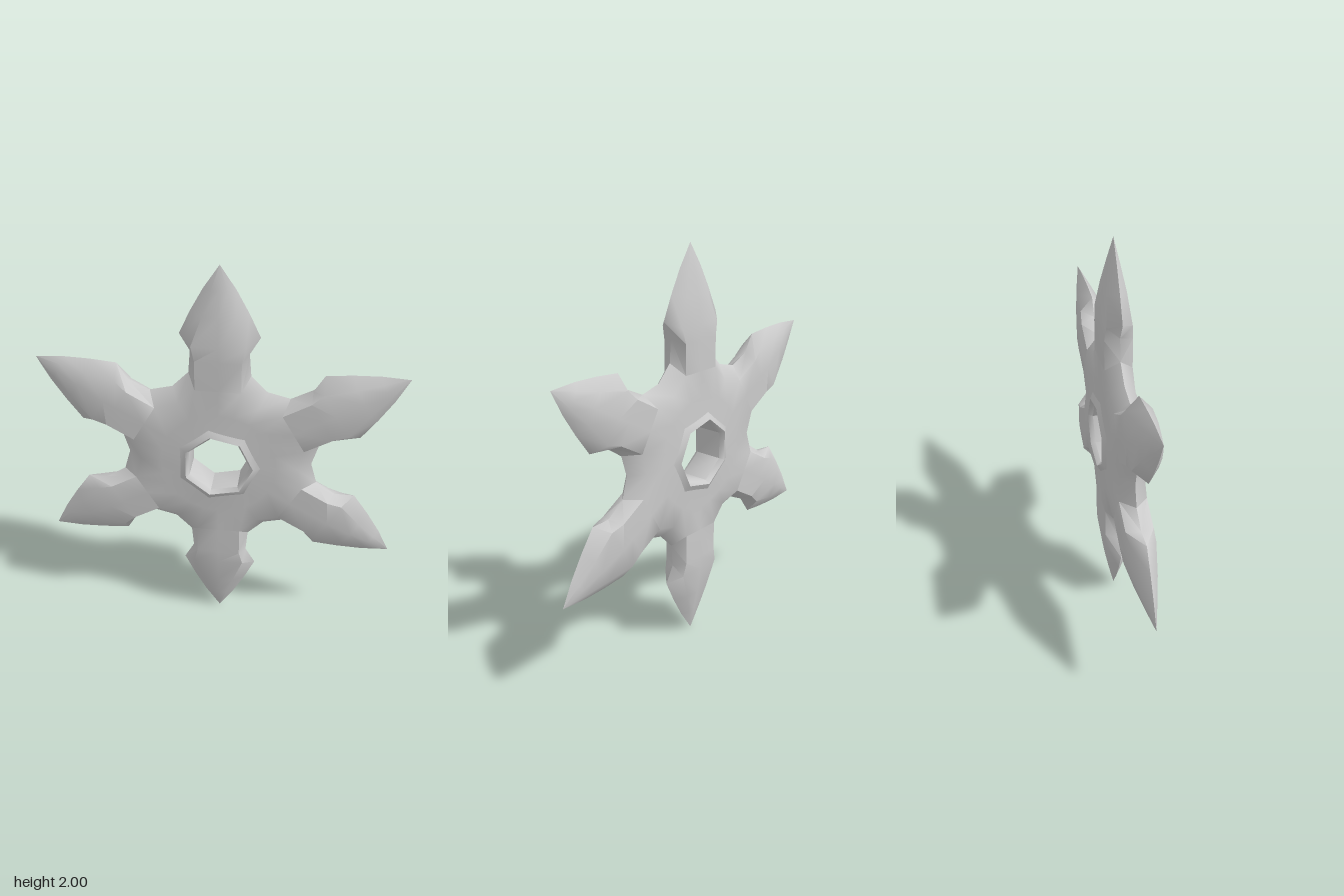
import * as THREE from 'three';
import { toCreasedNormals } from 'three/addons/utils/BufferGeometryUtils.js';

const ARMS = 6;
const V = (x, y, z) => new THREE.Vector3(x, y, z);

// Collects faces given as front-side corners and adds their mirrored back side
function doubleSided(quads) {
  const pos = [];
  const tri = (a, b, c) => {
    if (b.clone().sub(a).cross(c.clone().sub(a)).length() < 1e-7) return;
    for (const p of [a, b, c]) pos.push(p.x, p.y, p.z);
    for (const p of [a, c, b]) pos.push(p.x, p.y, -p.z);
  };
  for (const [a, b, c, d] of quads) { tri(a, b, c); tri(a, c, d); }
  const g = new THREE.BufferGeometry();
  g.setAttribute('position', new THREE.Float32BufferAttribute(pos, 3));
  return g;
}

// Quads between neighbouring rows of points (columns run left to right, rows outward)
function grid(rows) {
  const quads = [];
  for (let i = 0; i < rows.length - 1; i++)
    for (let j = 0; j < rows[i].length - 1; j++)
      quads.push([rows[i][j], rows[i][j + 1], rows[i + 1][j + 1], rows[i + 1][j]]);
  return quads;
}

// Arm stations: edge distance, edge half width, top distance, top half width, top height, ridge height
const STATIONS = [
  [0.467, 0.146, 0.41, 0.108, 0.066, 0.067],
  [0.58, 0.137, 0.56, 0.108, 0.066, 0.067],
  [0.665, 0.185, 0.63, 0.125, 0.06, 0.067],
  [0.78, 0.132, 0.77, 0.075, 0.044, 0.049],
  [0.89, 0.073, 0.885, 0.038, 0.023, 0.026],
  [1, 0, 1, 0, 0, 0],
];
const armRow = ([ye, w, yt, t, z, zc]) =>
  [V(-w, ye, 0), V(-t, yt, z), V(0, yt, zc), V(t, yt, z), V(w, ye, 0)];

// One blade on the upward arm
const armQuads = () => grid(STATIONS.map(armRow));

// One sixth of the hub, with the sloped walls of the valleys beside the arm
function hubQuads() {
  const polar = (r, a, z) => V(r * Math.sin(a), r * Math.cos(a), z);
  const half = Math.PI / ARMS;
  const [eL, tL, mid, tR, eR] = armRow(STATIONS[0]);
  const topL = polar(0.38, -half, 0.06), topR = polar(0.38, half, 0.06);
  const valleyL = polar(0.447, -half, 0), valleyR = polar(0.447, half, 0);
  const outer = [topL, tL, mid, tR, topR];
  const ring = (r, z) => outer.map((p) => polar(r, Math.atan2(p.x, p.y), z));
  return [
    ...grid([ring(0.175, 0.076), ring(0.28, 0.069), outer]),
    [topL, tL, eL, valleyL],
    [tR, topR, valleyR, eR],
  ];
}

export function createModel() {
  const group = new THREE.Group();
  const material = new THREE.MeshStandardMaterial({ color: 0xcccccc });
  const add = (name, geometry) => {
    const mesh = new THREE.Mesh(geometry, material);
    mesh.name = name;
    mesh.position.y = 1;
    group.add(mesh);
  };

  // Six hub sectors and blades around the centre
  const around = (quads) => {
    const all = [];
    const axis = V(0, 0, 1);
    for (let i = 0; i < ARMS; i++)
      for (const q of quads)
        all.push(q.map((p) => p.clone().applyAxisAngle(axis, (i * 2 * Math.PI) / ARMS)));
    return toCreasedNormals(doubleSided(all), 1.0);
  };
  add('hub', around(hubQuads()));
  add('blades', around(armQuads()));

  // Raised seven-sided rim with the through hole
  const profile = [[0.212, 0.07], [0.172, 0.092], [0.155, 0.07],
    [0.155, -0.07], [0.172, -0.092], [0.212, -0.07]].map(([r, y]) => new THREE.Vector2(r, y));
  const rim = new THREE.LatheGeometry(profile, 7, Math.PI / 2).rotateX(Math.PI / 2);
  add('holeRim', toCreasedNormals(rim, 0.85));

  return group;
}
